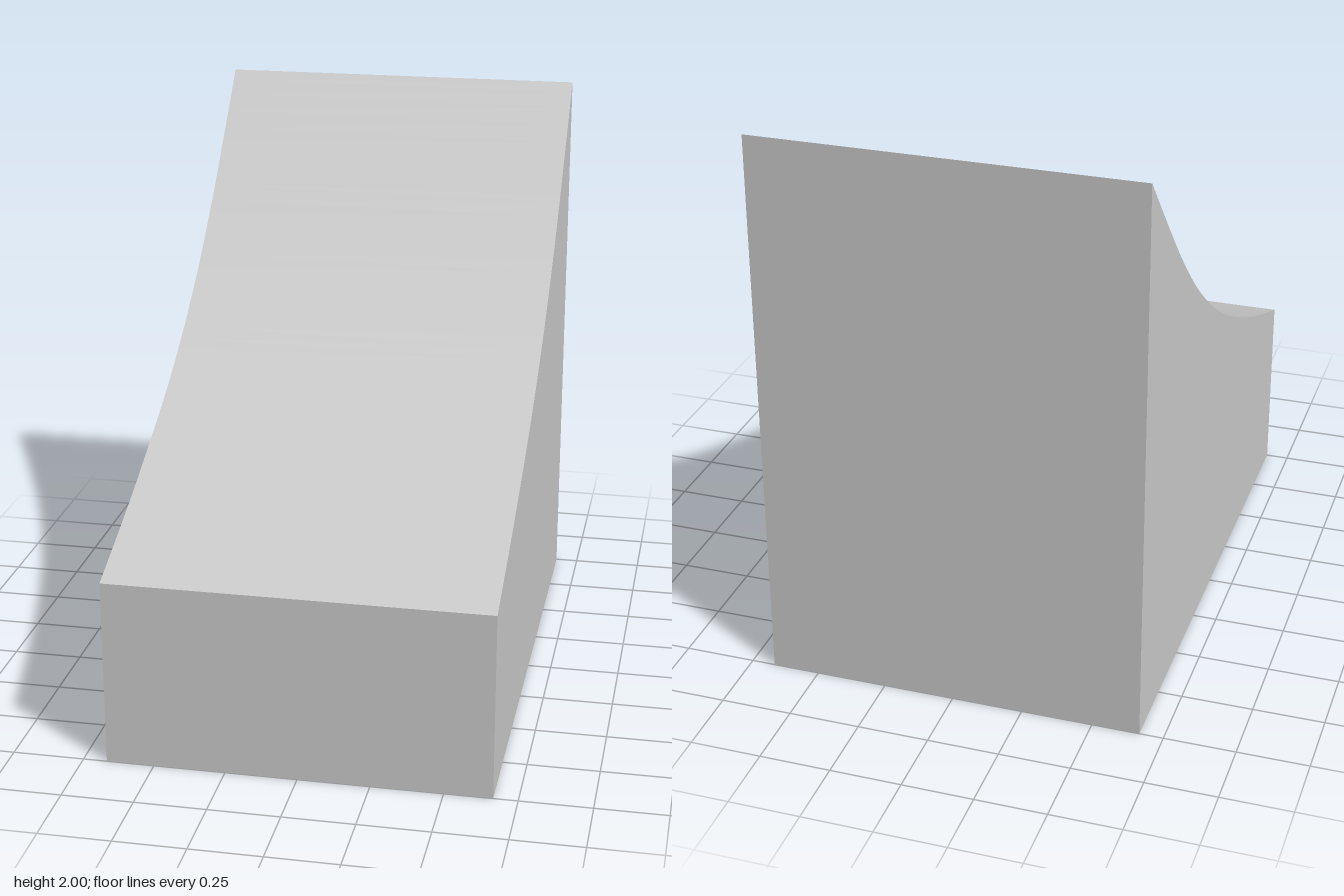
import * as THREE from 'three';
import { toCreasedNormals } from 'three/addons/utils/BufferGeometryUtils.js';

export function createModel() {
  const group = new THREE.Group();
  group.name = 'curvedRamp';
  const width = 1.333;

  // Heights of the sloped top at even steps from the front (z = 1) to the back (z = -1)
  const heights = [0.667, 0.743, 0.823, 0.912, 1.007, 1.117, 1.248, 1.402, 1.584, 1.788, 2];
  const slope = heights.map((y, i) => new THREE.Vector2(1 - i * 0.2, y));

  // Side profile: flat base, upright front and back, concave top
  const profile = new THREE.Shape();
  profile.moveTo(-1, 0);
  profile.lineTo(1, 0);
  profile.lineTo(1, heights[0]);
  profile.splineThru(slope.slice(1));
  profile.closePath();

  // Extrude across the width, then turn the profile to face sideways
  const geometry = new THREE.ExtrudeGeometry(profile, { depth: width, bevelEnabled: false, curveSegments: 4 });
  geometry.translate(0, 0, -width / 2);
  geometry.rotateY(-Math.PI / 2);

  const ramp = new THREE.Mesh(
    toCreasedNormals(geometry, Math.PI / 7),
    new THREE.MeshStandardMaterial({ color: 0xcccccc })
  );
  ramp.name = 'rampBody';
  group.add(ramp);
  return group;
}
